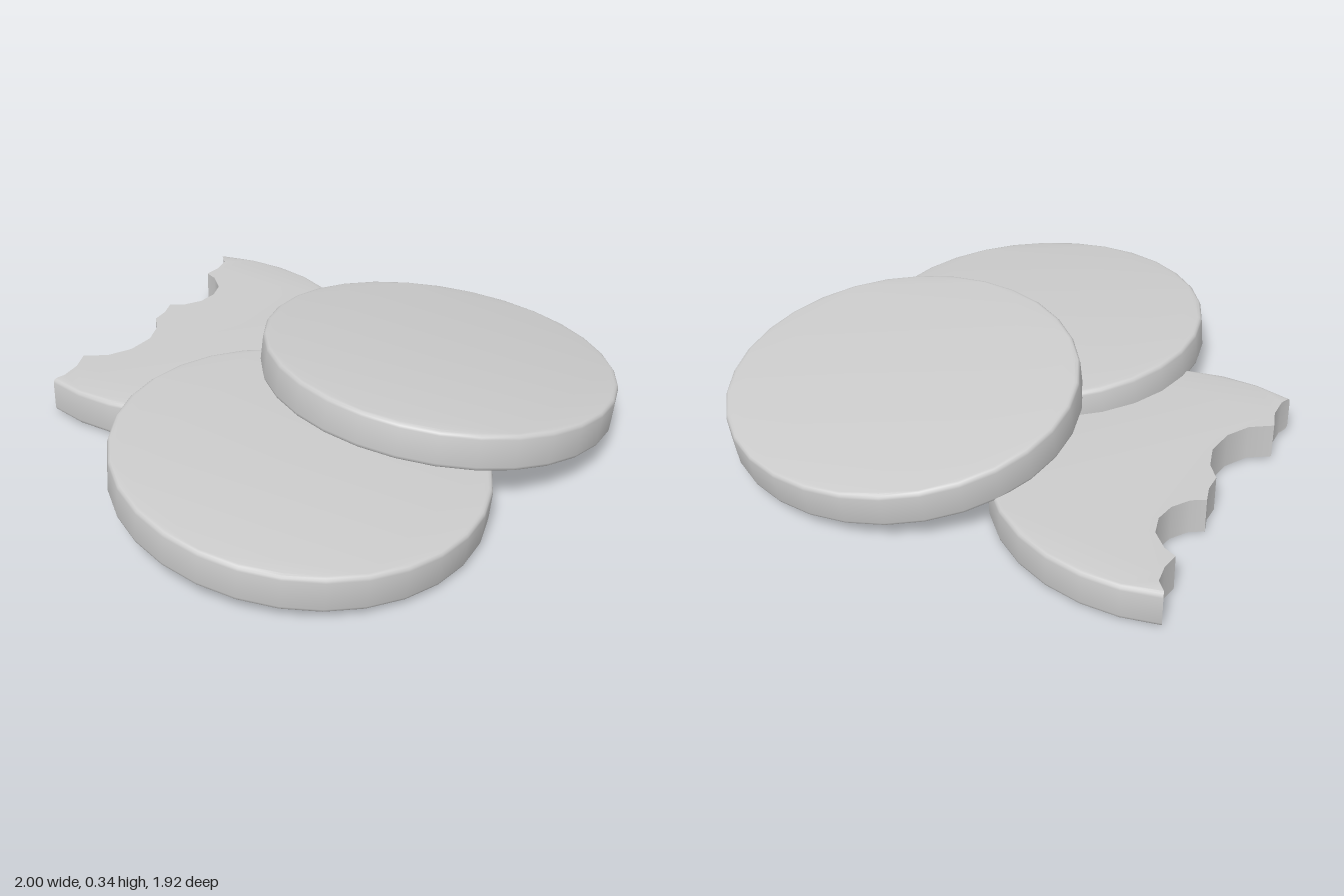
import * as THREE from 'three';
import { toCreasedNormals } from 'three/addons/utils/BufferGeometryUtils.js';

const RX = 0.634, RZ = 0.608;        // slightly oval discs
const HEIGHT = 0.13, BEVEL = 0.016;

// Rim points [x, z, inset weight] between two angles
function rimArc(from, to, segments) {
  return Array.from({ length: segments + 1 }, (_, i) => {
    const t = from + (to - from) * i / segments;
    return [Math.cos(t) * RX, Math.sin(t) * RZ, 1];
  });
}

// Flat slab from an outline; weighted points get a rounded rim
function slabGeometry(outline) {
  const rings = [];
  const steps = 3;
  for (let i = 0; i <= steps; i++) {
    const a = i / steps * Math.PI / 2;
    rings.push([BEVEL * (1 - Math.sin(a)), -HEIGHT / 2 + BEVEL * (1 - Math.cos(a))]);
  }
  for (let i = steps; i >= 0; i--) rings.push([rings[i][0], -rings[i][1]]);

  const n = outline.length, positions = [], index = [];
  for (const [inset, y] of rings) {
    for (const [x, z, weight] of outline) {
      const s = 1 - weight * inset / RX;
      positions.push(x * s, y, z * s);
    }
  }
  // Side wall
  for (let k = 0; k < rings.length - 1; k++) {
    for (let i = 0; i < n; i++) {
      const a = k * n + i, b = k * n + (i + 1) % n;
      index.push(a, a + n, b, b, a + n, b + n);
    }
  }
  // Bottom and top caps
  const points = outline.map(([x, z]) => new THREE.Vector2(x, z));
  const top = (rings.length - 1) * n;
  for (const [a, p, q] of THREE.ShapeUtils.triangulateShape(points, [])) {
    const ccw = points[p].clone().sub(points[a]).cross(points[q].clone().sub(points[a])) > 0;
    const [b, c] = ccw ? [p, q] : [q, p];
    index.push(a, b, c, top + a, top + c, top + b);
  }
  const geometry = new THREE.BufferGeometry();
  geometry.setAttribute('position', new THREE.Float32BufferAttribute(positions, 3));
  geometry.setIndex(index);
  return toCreasedNormals(geometry, 0.6);
}

export function createModel() {
  const group = new THREE.Group();
  const material = new THREE.MeshStandardMaterial({ color: 0xcccccc });

  function addBiscuit(name, geometry, position, tiltX, tiltZ) {
    const mesh = new THREE.Mesh(geometry, material);
    mesh.name = name;
    mesh.position.set(...position);
    mesh.rotation.set(tiltX, 0, tiltZ);
    group.add(mesh);
  }

  // Two whole biscuits leaning on the pile
  const whole = slabGeometry(rimArc(0, Math.PI * 2, 30).slice(0, -1));
  addBiscuit('upperBiscuit', whole, [0.298, 0.193, -0.355], -0.137, -0.01);
  addBiscuit('frontBiscuit', whole, [0.363, 0.124, 0.355], -0.03, -0.08);

  // Bitten biscuit lying flat: rim arc closed by scalloped bite marks
  const cx = -0.617, cz = 0.037;
  const bite = [
    [-0.615, 0.60], [-0.64, 0.53], [-0.685, 0.47], [-0.63, 0.40], [-0.61, 0.31],
    [-0.63, 0.21], [-0.68, 0.14], [-0.74, 0.10], [-0.76, 0.04], [-0.795, -0.01],
    [-0.76, -0.05], [-0.74, -0.12], [-0.75, -0.19], [-0.79, -0.25], [-0.86, -0.285],
    [-0.91, -0.29], [-0.92, -0.35], [-0.95, -0.41],
  ].map(([x, z]) => [x - cx, z - cz, 0]);
  const bitten = slabGeometry([...rimArc(-2.223, Math.PI / 2, 18), ...bite]);
  addBiscuit('bittenBiscuit', bitten, [cx, 0.069, cz], -0.006, 0);

  return group;
}
